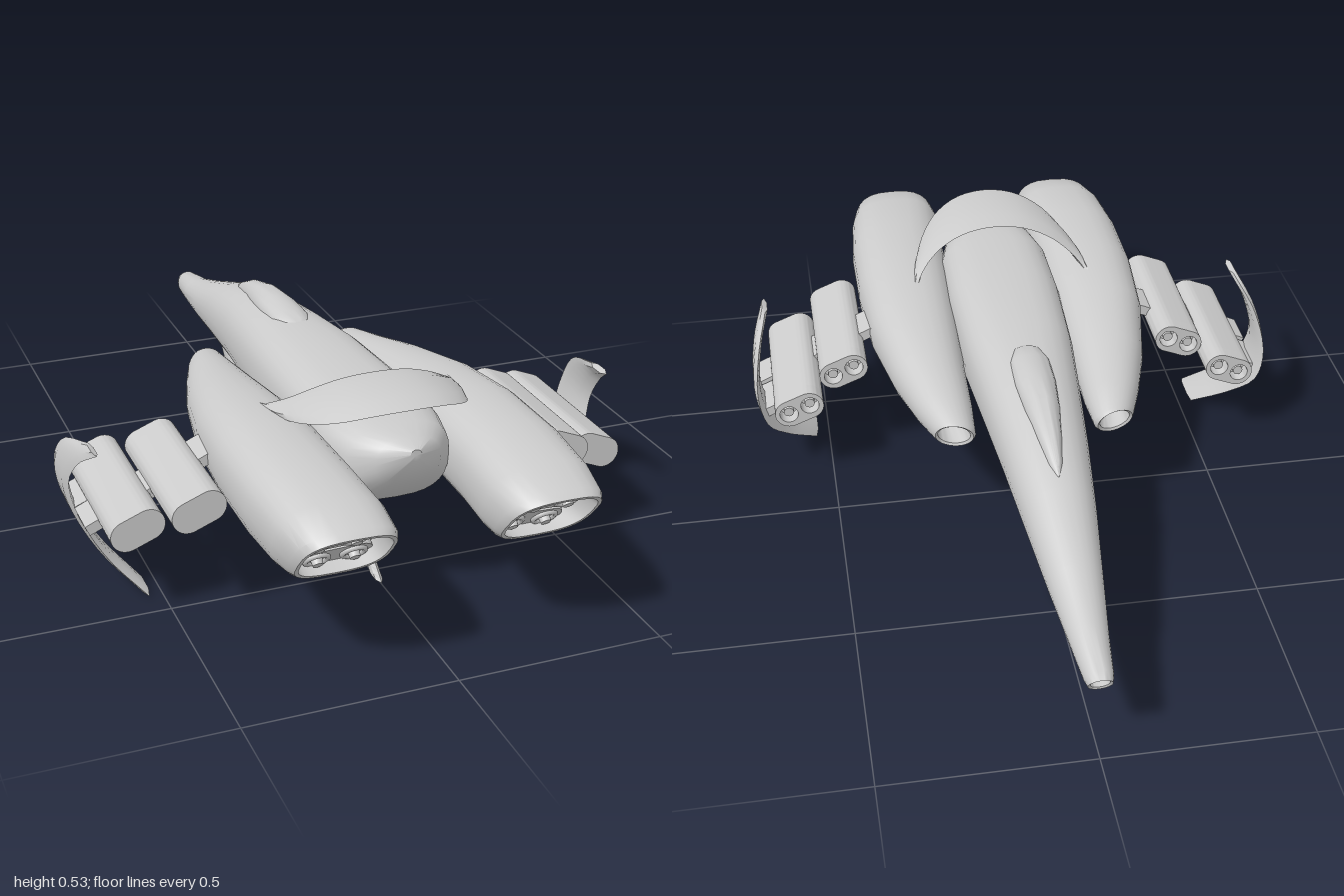
import * as THREE from 'three';
import { toCreasedNormals } from 'three/addons/utils/BufferGeometryUtils.js';

const material = new THREE.MeshStandardMaterial({ color: 0xcccccc });
const V = (x, y, z) => new THREE.Vector3(x, y, z);

function add(parent, name, geometry) {
  const mesh = new THREE.Mesh(geometry, material);
  mesh.name = name;
  parent.add(mesh);
  return mesh;
}

// Skin a list of point rings and close both ends
function loft(rings, crease = 0.6) {
  const n = rings[0].length, pos = [], index = [];
  rings.forEach(r => r.forEach(p => pos.push(p.x, p.y, p.z)));
  for (let i = 0; i < rings.length - 1; i++) {
    for (let j = 0; j < n; j++) {
      const a = i * n + j, b = i * n + (j + 1) % n;
      index.push(a, b, a + n, b, b + n, a + n);
    }
  }
  [0, rings.length - 1].forEach((ri, end) => {
    const c = rings[ri].reduce((s, p) => s.add(p), V(0, 0, 0)).divideScalar(n);
    const ci = pos.length / 3;
    pos.push(c.x, c.y, c.z);
    for (let j = 0; j < n; j++) {
      const a = ri * n + j, b = ri * n + (j + 1) % n;
      if (end) index.push(ci, a, b); else index.push(ci, b, a);
    }
  });
  const g = new THREE.BufferGeometry();
  g.setAttribute('position', new THREE.Float32BufferAttribute(pos, 3));
  g.setIndex(index);
  return toCreasedNormals(g, crease);
}

// Rounded-box cross-section; slopeY and slopeX lean it out of the xy plane
function section([z, x, y, hx, hy, power = 2.4, slopeY = 0, slopeX = 0], n = 28) {
  return Array.from({ length: n }, (_, j) => {
    const a = j / n * Math.PI * 2, c = Math.cos(a), s = Math.sin(a);
    const dx = hx * Math.sign(c) * Math.abs(c) ** (2 / power);
    const dy = hy * Math.sign(s) * Math.abs(s) ** (2 / power);
    return V(x + dx, y + dy, z + dy * slopeY + dx * slopeX);
  });
}
const body = sections => loft(sections.map(s => section(s)));

// Thin curved fin through pairs of leading and trailing points
function blade(pairs, thickness, steps = 18) {
  const lead = new THREE.CatmullRomCurve3(pairs.map(p => V(...p[0])));
  const trail = new THREE.CatmullRomCurve3(pairs.map(p => V(...p[1])));
  const rings = [];
  for (let i = 0; i <= steps; i++) {
    const t = i / steps, L = lead.getPoint(t), T = trail.getPoint(t);
    const span = lead.getTangent(t).add(trail.getTangent(t));
    const normal = span.cross(L.clone().sub(T)).normalize();
    const at = (k, h) => T.clone().lerp(L, k).addScaledVector(normal, h * thickness / 2);
    rings.push([at(1, 0), at(0.75, 1), at(0.25, 1), at(0, 0), at(0.25, -1), at(0.75, -1)]);
  }
  return loft(rings, 0.7);
}

function pill(w, h) {
  const r = h / 2, d = w / 2 - r, s = new THREE.Shape();
  s.moveTo(-d, -r);
  s.lineTo(d, -r);
  s.absarc(d, 0, r, -Math.PI / 2, Math.PI / 2);
  s.lineTo(-d, r);
  s.absarc(-d, 0, r, Math.PI / 2, Math.PI * 1.5);
  return s;
}
const extrude = (shape, depth) =>
  toCreasedNormals(new THREE.ExtrudeGeometry(shape, { depth, bevelEnabled: false, curveSegments: 12 }), 0.6);

// Twin-barrel pod, muzzles toward -z
function weaponPod(parent, name, x, y, z0, z1) {
  const pod = new THREE.Group();
  pod.name = name;
  pod.position.set(x, y, z0);
  pod.rotation.z = -0.38;
  const front = pill(0.132, 0.078), lip = 0.04;
  for (const s of [-1, 1]) {
    const hole = new THREE.Path();
    hole.absarc(s * 0.03, 0, 0.024, 0, Math.PI * 2, true);
    front.holes.push(hole);
    const barrel = add(pod, 'barrel', new THREE.CylinderGeometry(0.013, 0.013, 0.035, 16));
    barrel.rotation.x = Math.PI / 2;
    barrel.position.set(s * 0.03, 0, 0.028);
  }
  add(pod, 'muzzleBlock', extrude(front, lip));
  add(pod, 'podBody', extrude(pill(0.132, 0.078), z1 - z0 - lip)).position.z = lip;
  parent.add(pod);
}

function buildSide(name) {
  const side = new THREE.Group();
  side.name = name;

  // Engine nacelle: recessed intake in front, slanted recessed exhaust behind
  add(side, 'engineNacelle', body([
    [-0.07, 0.208, 0.298, 0.034, 0.03, 2, -0.45, 0.25],
    [-0.142, 0.205, 0.297, 0.04, 0.036, 2, -0.45, 0.25],
    [-0.148, 0.205, 0.297, 0.047, 0.043, 2, -0.45, 0.25],
    [-0.135, 0.205, 0.297, 0.054, 0.048, 2, -0.42, 0.25],
    [-0.04, 0.218, 0.30, 0.073, 0.062, 2.1, -0.2, 0.1],
    [0.1, 0.237, 0.312, 0.094, 0.08, 2.2],
    [0.3, 0.253, 0.325, 0.117, 0.099, 2.4],
    [0.5, 0.257, 0.333, 0.128, 0.108, 2.5],
    [0.7, 0.255, 0.333, 0.13, 0.107, 2.6, 0.1],
    [0.84, 0.246, 0.327, 0.128, 0.099, 2.7, 0.45],
    [0.91, 0.241, 0.318, 0.118, 0.086, 2.8, 0.8],
    [0.93, 0.24, 0.314, 0.108, 0.078, 2.9, 0.85],
    [0.93, 0.24, 0.314, 0.1, 0.07, 2.9, 0.85],
    [0.86, 0.24, 0.314, 0.097, 0.067, 2.9, 0.85]]));

  // Exhaust plates with two ringed nozzles each
  const exhaust = new THREE.Group();
  exhaust.name = 'exhaust';
  exhaust.position.set(0.24, 0.314, 0.86);
  exhaust.rotation.x = 0.705;
  for (const s of [-1, 1]) {
    const plate = new THREE.Group();
    plate.name = s > 0 ? 'upperNozzles' : 'lowerNozzles';
    plate.position.set(s * 0.01, s * 0.045, 0);
    plate.rotation.z = -0.08;
    add(plate, 'nozzlePlate', extrude(pill(0.17, 0.08), 0.015));
    for (const k of [-1, 1]) {
      add(plate, 'nozzleRing', new THREE.TorusGeometry(0.025, 0.007, 8, 20)).position.set(k * 0.042, 0, 0.016);
      const core = add(plate, 'nozzleCore', new THREE.CylinderGeometry(0.012, 0.014, 0.02, 16));
      core.rotation.x = Math.PI / 2;
      core.position.set(k * 0.042, 0, 0.02);
    }
    exhaust.add(plate);
  }
  side.add(exhaust);

  // Weapon pods on a sloping strut
  weaponPod(side, 'innerPod', 0.454, 0.29, 0.2, 0.595);
  weaponPod(side, 'outerPod', 0.579, 0.233, 0.125, 0.53);
  const strut = add(side, 'podStrut', new THREE.BoxGeometry(0.34, 0.026, 0.1));
  strut.position.set(0.515, 0.262, 0.37);
  strut.rotation.z = -0.43;
  const mount = add(side, 'finMount', new THREE.BoxGeometry(0.04, 0.025, 0.12));
  mount.position.set(0.65, 0.195, 0.25);
  mount.rotation.z = -0.4;

  // Bowed outer fin
  add(side, 'sideFin', blade([
    [[0.645, 0.39, 0.37], [0.645, 0.39, 0.445]],
    [[0.673, 0.34, 0.225], [0.672, 0.34, 0.37]],
    [[0.683, 0.26, 0.16], [0.683, 0.26, 0.31]],
    [[0.667, 0.18, 0.155], [0.667, 0.18, 0.32]],
    [[0.615, 0.085, 0.235], [0.615, 0.085, 0.375]],
    [[0.535, 0.002, 0.325], [0.535, 0.002, 0.44]]], 0.016));
  return side;
}

export function createModel() {
  const ship = new THREE.Group();
  ship.name = 'spaceship';

  // Fuselage with recessed nose tip and a tail tapering upward
  add(ship, 'fuselage', body([
    [-0.93, 0, 0.206, 0.02, 0.02, 2, -0.6],
    [-0.978, 0, 0.203, 0.022, 0.022, 2, -0.6],
    [-0.982, 0, 0.203, 0.028, 0.028, 2, -0.6],
    [-0.96, 0, 0.207, 0.034, 0.034, 2, -0.5],
    [-0.85, 0, 0.22, 0.046, 0.044, 2],
    [-0.7, 0, 0.246, 0.064, 0.064, 2.1],
    [-0.5, 0, 0.287, 0.087, 0.09, 2.2],
    [-0.3, 0, 0.317, 0.107, 0.108, 2.3],
    [-0.1, 0, 0.331, 0.125, 0.114, 2.5],
    [0.1, 0, 0.34, 0.142, 0.118, 2.8],
    [0.35, 0, 0.344, 0.152, 0.117, 3],
    [0.55, 0, 0.347, 0.15, 0.11, 3],
    [0.64, 0, 0.36, 0.128, 0.093, 2.8],
    [0.7, 0, 0.388, 0.08, 0.058, 2.4],
    [0.742, 0, 0.42, 0.014, 0.014, 2]]));

  // Teardrop canopy
  add(ship, 'canopy', body([
    [-0.47, 0, 0.375, 0.004, 0.01, 2],
    [-0.43, 0, 0.385, 0.017, 0.02, 2],
    [-0.35, 0, 0.4, 0.03, 0.04, 2],
    [-0.25, 0, 0.42, 0.043, 0.044, 2],
    [-0.15, 0, 0.43, 0.051, 0.038, 2],
    [-0.06, 0, 0.435, 0.051, 0.028, 2],
    [-0.01, 0, 0.438, 0.037, 0.019, 2],
    [0.015, 0, 0.438, 0.012, 0.008, 2]]));

  // Crescent fin arching over the tail: x, height, front z, back z
  const half = [[0.232, 0.425, 0.38, 0.39], [0.222, 0.437, 0.405, 0.5], [0.19, 0.463, 0.447, 0.6],
    [0.145, 0.49, 0.475, 0.667], [0.08, 0.513, 0.493, 0.708]];
  const mirror = half.map(([x, ...r]) => [-x, ...r]).reverse();
  add(ship, 'archFin', blade([...half, [0, 0.521, 0.5, 0.722], ...mirror]
    .map(([x, y, f, b]) => [[x, y, f], [x, y, b]]), 0.015, 32));

  // Swept keel fins under the nose and belly
  add(ship, 'noseKeel', blade([
    [[0, 0.215, -0.72], [0, 0.215, -0.565]],
    [[0, 0.15, -0.655], [0, 0.15, -0.54]],
    [[0, 0.07, -0.565], [0, 0.07, -0.485]],
    [[0, 0, -0.46], [0, 0, -0.4]]], 0.018));
  add(ship, 'bellyKeel', blade([
    [[0, 0.25, 0.235], [0, 0.25, 0.4]],
    [[0, 0.16, 0.3], [0, 0.16, 0.425]],
    [[0, 0.07, 0.395], [0, 0.07, 0.485]],
    [[0, 0, 0.505], [0, 0, 0.57]]], 0.018));

  const left = buildSide('leftSide'), right = buildSide('rightSide');
  right.scale.x = -1;
  ship.add(left, right);
  return ship;
}
